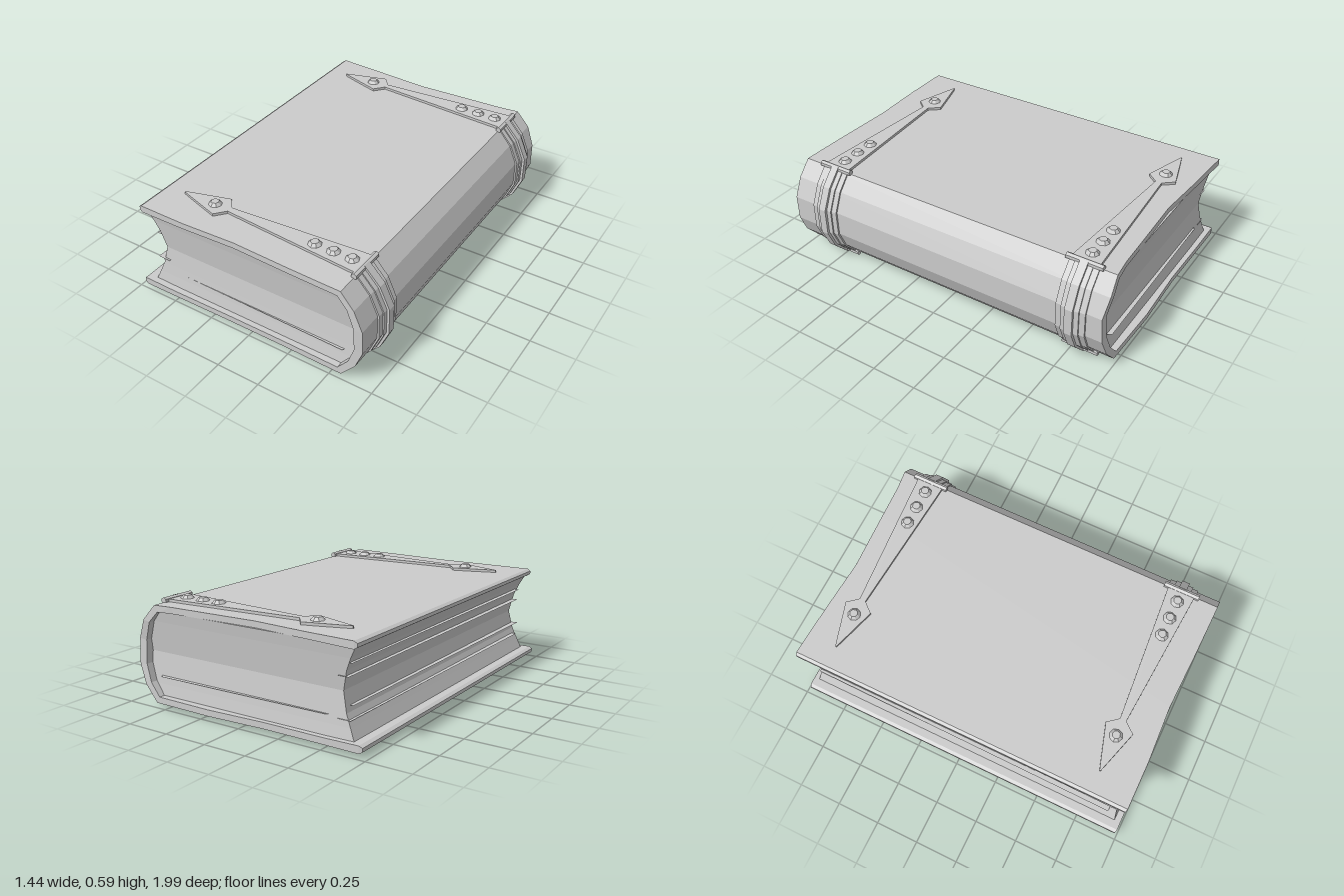
import * as THREE from 'three';

const mat = new THREE.MeshStandardMaterial({ color: 0xcccccc, flatShading: true });
const sheetMat = new THREE.MeshStandardMaterial({ color: 0xcccccc, flatShading: true, side: THREE.DoubleSide });

function add(parent, geometry, name, x = 0, y = 0, z = 0, material = mat) {
  const mesh = new THREE.Mesh(geometry, material);
  mesh.name = name;
  mesh.position.set(x, y, z);
  parent.add(mesh);
  return mesh;
}

// Four-cornered cross-sections joined in order, with both ends capped
function loft(sections) {
  const pos = [], index = [];
  for (const [ox, oy, ix, iy, zf, zb] of sections)
    pos.push(ox, oy, zf, ox, oy, zb, ix, iy, zb, ix, iy, zf);
  const n = sections.length;
  for (let i = 0; i < n - 1; i++)
    for (let j = 0; j < 4; j++) {
      const k = (j + 1) % 4, a = i * 4 + j, b = a + 4, c = i * 4 + 4 + k, d = i * 4 + k;
      index.push(a, b, c, a, c, d);
    }
  const e = (n - 1) * 4;
  index.push(0, 1, 2, 0, 2, 3, e, e + 2, e + 1, e, e + 3, e + 2);
  const g = new THREE.BufferGeometry();
  g.setAttribute('position', new THREE.Float32BufferAttribute(pos, 3));
  g.setIndex(index);
  g.computeVertexNormals();
  return g;
}

// Outer outline of the rounded spine, top to bottom
const spine = [[0.565, 0.55], [0.64, 0.465], [0.688, 0.355], [0.688, 0.215], [0.645, 0.11], [0.565, 0.02]];

// Cover: top board, spine and bottom board in one worn strip
// Each section: outer x, y, inner x, y, front z, back z
function coverGeometry() {
  return loft([
    [-0.692, 0.541, -0.692, 0.522, 0.975, -0.975],
    [-0.675, 0.552, -0.675, 0.512, 0.98, -0.98],
    [-0.4, 0.55, -0.4, 0.515, 0.98, -0.965],
    [-0.08, 0.55, -0.08, 0.515, 0.966, -0.942],
    [0.25, 0.55, 0.25, 0.515, 0.978, -0.955],
    [0.45, 0.55, 0.45, 0.515, 0.983, -0.962],
    [...spine[0], 0.545, 0.515, 0.985, -0.975],
    [...spine[1], 0.6, 0.455, 0.988, -0.982],
    [...spine[2], 0.64, 0.35, 0.99, -0.968],
    [...spine[3], 0.64, 0.22, 0.988, -0.975],
    [...spine[4], 0.605, 0.125, 0.988, -0.985],
    [...spine[5], 0.545, 0.055, 0.99, -0.99],
    [0.2, 0.02, 0.2, 0.055, 0.986, -0.998],
    [-0.15, 0.02, -0.15, 0.055, 0.986, -0.982],
    [-0.5, 0.02, -0.5, 0.055, 0.99, -0.985],
    [-0.705, 0.018, -0.705, 0.058, 0.99, -0.985],
    [-0.724, 0.028, -0.724, 0.048, 0.985, -0.98],
  ]);
}

// Page block: hollowed on the fore edge and at both ends
function pagesGeometry() {
  // Each row: y, fore edge x, spine x, half length
  const rows = [
    [0.516, -0.668, 0.55, 0.955], [0.455, -0.635, 0.61, 0.945], [0.39, -0.607, 0.645, 0.937],
    [0.285, -0.583, 0.655, 0.925], [0.18, -0.607, 0.645, 0.937], [0.115, -0.635, 0.61, 0.945],
    [0.054, -0.662, 0.55, 0.955],
  ];
  const g = new THREE.BoxGeometry(2, 6, 2, 1, 6, 1);
  const p = g.attributes.position;
  for (let i = 0; i < p.count; i++) {
    const [y, x0, x1, hz] = rows[Math.round(3 - p.getY(i))];
    p.setXYZ(i, p.getX(i) < 0 ? x0 : x1, y, Math.sign(p.getZ(i)) * hz);
  }
  g.computeVertexNormals();
  return g;
}

// Flat plate cut from a half outline (x, half width), thickness upward
function plate(half, depth) {
  const mirrored = half.slice().reverse().map(([x, w]) => [x, -w]);
  const shape = new THREE.Shape([...half, ...mirrored].map(([x, y]) => new THREE.Vector2(x, y)));
  return new THREE.ExtrudeGeometry(shape, { depth, bevelEnabled: false }).rotateX(-Math.PI / 2);
}

// Strip that follows the spine, raised by a scale about the spine's centre
function spineBand(scale, width) {
  const pts = spine.map(([x, y]) => new THREE.Vector2(0.5 + (x - 0.5) * scale, 0.285 + (y - 0.285) * (1 + (scale - 1) * 0.55)));
  return new THREE.ExtrudeGeometry(new THREE.Shape(pts), { depth: width, bevelEnabled: false }).translate(0, 0, -width / 2);
}

function rivet(parent, x, y, up) {
  const m = add(parent, new THREE.CylinderGeometry(0.022, 0.038, 0.018, 8), 'rivet', x, y, 0);
  if (!up) m.rotation.x = Math.PI;
}

// One metal fitting: pointed top strap, bottom strap, spine bands and bars
function createFitting(z) {
  const g = new THREE.Group();
  g.name = 'metalFitting';
  g.position.z = z;
  add(g, plate([[-0.555, 0.003], [-0.5, 0.02], [-0.305, 0.078], [-0.255, 0.018], [0.56, 0.078]], 0.017), 'topStrap', 0, 0.548, 0);
  add(g, plate([[-0.525, 0.035], [-0.5, 0.05], [0.56, 0.07]], 0.014), 'bottomStrap', 0, 0.008, 0);
  for (const x of [-0.35, 0.275, 0.385, 0.493]) rivet(g, x, 0.573, true);
  for (const x of [-0.45, -0.34, 0.385, 0.493]) rivet(g, x, 0.009, false);

  add(g, spineBand(1.05, 0.165), 'spineBand');
  add(g, spineBand(1.09, 0.1), 'spineBandStep');
  add(g, spineBand(1.165, 0.045), 'spineBandRidge');
  for (const y of [0.559, 0.016]) {
    const bar = add(g, new THREE.CylinderGeometry(0.017, 0.017, 0.205, 6), 'endBar', 0.566, y, 0);
    bar.rotation.x = Math.PI / 2;
  }
  return g;
}

// Thin loose sheet as a four-cornered plane
function sheet(corners) {
  const g = new THREE.BufferGeometry();
  g.setAttribute('position', new THREE.Float32BufferAttribute(corners.flat(), 3));
  g.setIndex([0, 1, 2, 0, 2, 3]);
  g.computeVertexNormals();
  return g;
}

export function createModel() {
  const book = new THREE.Group();
  book.name = 'book';
  add(book, coverGeometry(), 'cover');
  add(book, pagesGeometry(), 'pages');
  for (const z of [0.77, -0.8]) book.add(createFitting(z));

  // Loose sheets poking out of the fore edge: height, reach, front z, back z
  for (const [y, x, zf, zb] of [[0.43, -0.655, 0.9, -0.94], [0.36, -0.635, 0.93, -0.94], [0.21, -0.635, 0.945, -0.9], [0.15, -0.65, 0.9, -0.945]])
    add(book, sheet([[-0.56, y, zf], [x, y + 0.003, zf], [x + 0.015, y, zb], [-0.56, y, zb]]), 'looseSheet', 0, 0, 0, sheetMat);

  // Loose sheets poking out of the ends
  for (const [y, end] of [[0.145, 0.955], [0.16, -0.965]])
    add(book, sheet([[-0.55, y, end * 0.95], [0.58, y, end * 0.95], [0.55, y, end], [-0.5, y, end * 0.985]]), 'looseEndSheet', 0, 0, 0, sheetMat);
  return book;
}
